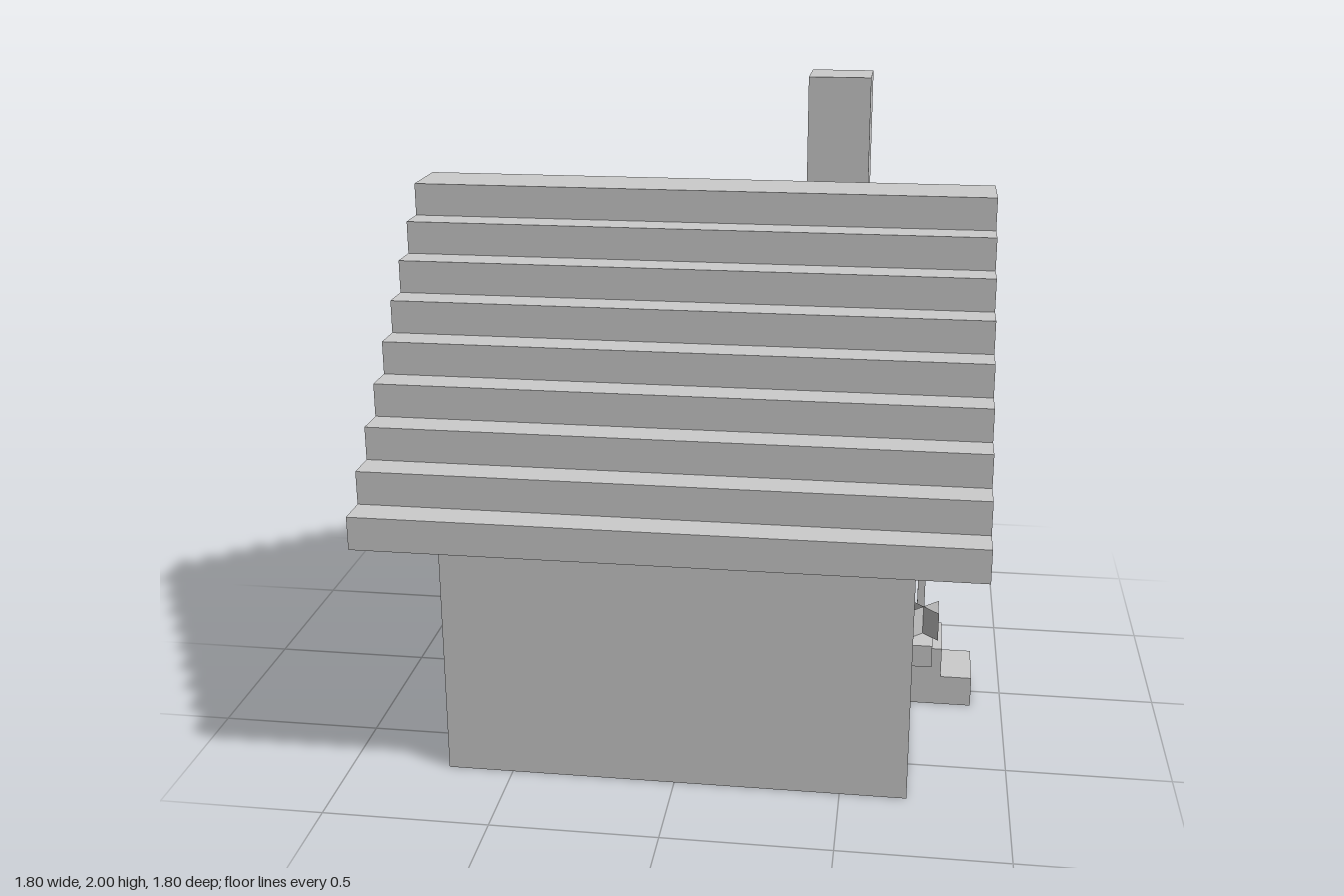
import * as THREE from 'three';

export function createModel() {
  const house = new THREE.Group();
  house.name = 'house';
  const grey = new THREE.MeshStandardMaterial({ color: 0xcccccc, side: THREE.DoubleSide });
  grey.name = 'plain grey';

  const add = (name, geometry) => {
    const mesh = new THREE.Mesh(geometry, grey);
    mesh.name = name;
    house.add(mesh);
    return mesh;
  };
  // Box given by its minimum and maximum corners
  const box = (x0, y0, z0, x1, y1, z1) =>
    new THREE.BoxGeometry(x1 - x0, y1 - y0, z1 - z0)
      .translate((x0 + x1) / 2, (y0 + y1) / 2, (z0 + z1) / 2);
  const outline = points => new THREE.Shape(points.map(([a, b]) => new THREE.Vector2(a, b)));

  // Thin side walls; the house is hollow and open underneath
  for (const s of [1, -1]) {
    const wall = new THREE.PlaneGeometry(1.4, 0.8);
    if (s < 0) wall.rotateY(Math.PI);
    add('sideWall', wall.translate(0, 0.4, s * 0.7));
  }

  // Stepped gable walls, the one at +x with a door opening
  const half = [[0.7, 0], [0.7, 1], [0.5, 1], [0.5, 1.2], [0.3, 1.2], [0.3, 1.4], [0.1, 1.4], [0.1, 1.6]];
  const profile = [...half, ...half.map(([a, b]) => [-a, b]).reverse()];
  for (const s of [1, -1]) {
    const shape = outline(profile);
    if (s > 0) {
      const doorway = [[-0.1, 0.2], [-0.1, 0.6], [0.1, 0.6], [0.1, 0.2]];
      shape.holes.push(new THREE.Path(doorway.map(([a, b]) => new THREE.Vector2(a, b))));
    }
    add('gableWall', new THREE.ShapeGeometry(shape).rotateY(s * Math.PI / 2).translate(s * 0.7, 0, 0));
  }

  // Recessed door: a box without its outer face
  const recess = box(0.5, 0.2, -0.1, 0.7, 0.6, 0.1);
  recess.setIndex(Array.from(recess.index.array).slice(6));
  recess.clearGroups();
  add('doorRecess', recess);

  // Roof: L-shaped courses climbing to a ridge beam
  for (const s of [1, -1]) {
    for (let k = 0; k < 4; k++) {
      const z = 0.7 - 0.2 * k, y = 0.8 + 0.2 * k;
      const course = outline(
        [[0, 0], [0.2, 0], [0.2, 0.1], [0.1, 0.1], [0.1, 0.2], [0, 0.2]].map(([a, b]) => [s * (z + a), y + b])
      );
      add('roofCourse', new THREE.ExtrudeGeometry(course, { depth: 1.8, bevelEnabled: false })
        .translate(0, 0, -0.9).rotateY(Math.PI / 2));
    }
  }
  add('roofRidge', box(-0.9, 1.6, -0.1, 0.9, 1.7, 0.1));
  add('chimney', box(0.3, 1.3, -0.5, 0.5, 2, -0.3));

  // Door steps
  add('upperStep', box(0.7, 0, -0.1, 0.8, 0.2, 0.1));
  add('lowerStep', box(0.8, 0, -0.1, 0.9, 0.1, 0.1));

  // Planters with crossed-plane plants, and slim wall lamps
  for (const s of [1, -1]) {
    add('planter', box(0.7, 0.33, s * 0.4 - 0.087, 0.76, 0.4, s * 0.4 + 0.087));
    for (const turn of [1, -1]) {
      add('plant', new THREE.PlaneGeometry(0.132, 0.09)
        .rotateY(turn * Math.PI / 4).translate(0.73, 0.445, s * 0.4));
    }
    add('wallLamp', box(0.712, 0.4, s * 0.2 - 0.011, 0.735, 0.54, s * 0.2 + 0.011));
  }
  return house;
}
